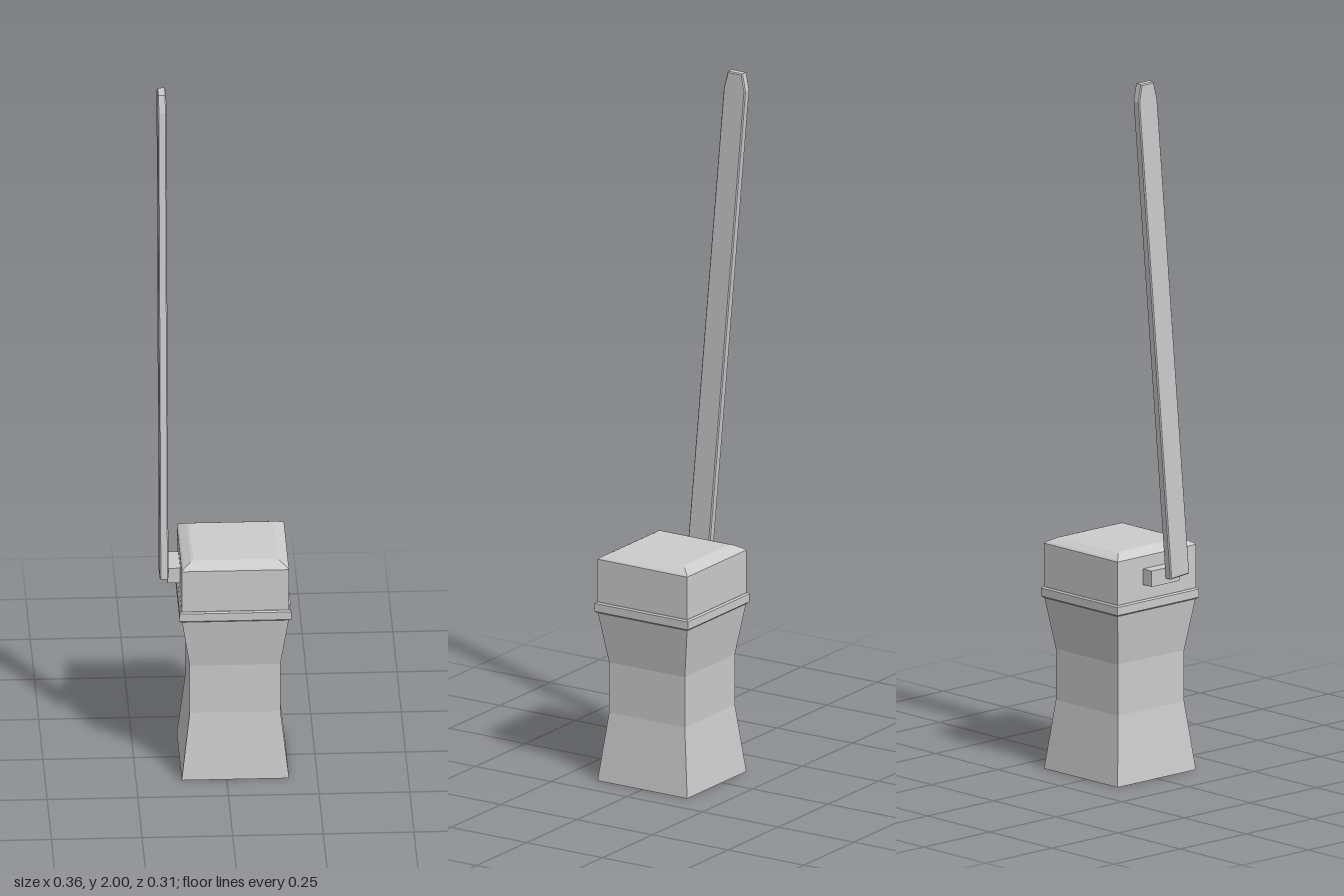
import * as THREE from 'three';

const material = new THREE.MeshStandardMaterial({ color: 0xcccccc, flatShading: true });
const BODY_X = 0.024;

// Square solid from [half width, height] steps, listed bottom to top
function squareLoft(name, steps) {
  const points = steps.map(([half, y]) => new THREE.Vector2(half * Math.SQRT2, y));
  const mesh = new THREE.Mesh(new THREE.LatheGeometry(points, 4, Math.PI / 4), material);
  mesh.name = name;
  mesh.position.x = BODY_X;
  return mesh;
}

export function createModel() {
  const model = new THREE.Group();
  model.name = 'boxWithAntenna';

  // Waisted body, flared at both ends
  model.add(squareLoft('body', [
    [0, 0], [0.148, 0], [0.125, 0.195], [0.125, 0.34], [0.148, 0.49], [0, 0.49],
  ]));

  // Thin band with softened edges
  model.add(squareLoft('band', [
    [0, 0.486], [0.15, 0.486], [0.154, 0.49], [0.154, 0.513], [0.15, 0.517], [0, 0.517],
  ]));

  // Cap with chamfered top
  model.add(squareLoft('cap', [
    [0, 0.51], [0.148, 0.51], [0.148, 0.64], [0.143, 0.645], [0.122, 0.657], [0.115, 0.659], [0, 0.659],
  ]));

  // Mounting block on the right side
  const hinge = new THREE.Mesh(new THREE.BoxGeometry(0.045, 0.045, 0.105), material);
  hinge.name = 'hingeBlock';
  hinge.position.set(-0.137, 0.582, 0);
  model.add(hinge);

  // Flat blade leaning back, drawn as (-z, y) and extruded across x
  const bevel = 0.003;
  const outline = new THREE.Shape([
    [-0.068, 0.583], [-0.003, 0.578], [0.118, 1.95], [0.109, 1.997],
    [0.066, 1.997], [0.053, 1.95],
  ].map(([u, v]) => new THREE.Vector2(u, v)));
  const bladeGeometry = new THREE.ExtrudeGeometry(outline, {
    depth: 0.024 - 2 * bevel, bevelThickness: bevel, bevelSize: bevel, bevelSegments: 1,
  });
  bladeGeometry.rotateY(Math.PI / 2);
  const blade = new THREE.Mesh(bladeGeometry, material);
  blade.name = 'antennaBlade';
  blade.position.x = -0.181 + bevel;
  model.add(blade);

  return model;
}
